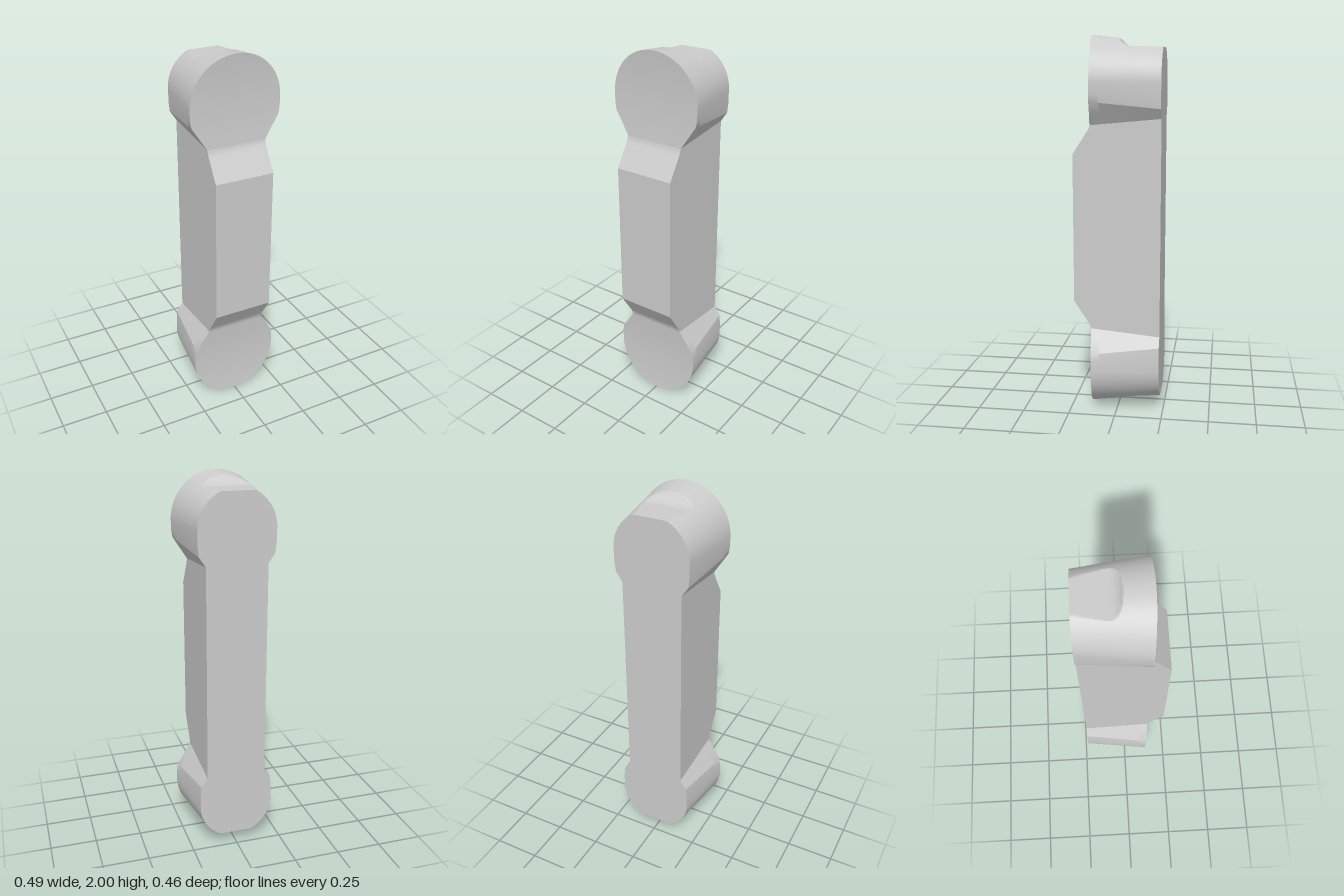
import * as THREE from 'three';
import { toCreasedNormals } from 'three/addons/utils/BufferGeometryUtils.js';

const BACK = -0.23, NECK_X = 0.161, CENTRE = 1.753;
const mix = THREE.MathUtils.lerp;

// Slightly dished front face of each end
const frontZ = y => 0.128 + 0.012 * ((y - 1.77) / 0.23) ** 2;

// Height limit of the thumb notch cut into the outer end
function notchTop(z) {
  const z0 = -0.075, R = 0.084, floor = 1.936;
  if (z > 0.005) return Infinity;
  return z < z0 ? floor : floor + R - Math.sqrt(R * R - (z - z0) ** 2);
}

// Half outline from the top to the neck; t = 0 at the front, 1 at the back
function halfOutline(t) {
  const r = mix(0.246, 0.202, t), kink = mix(1.663, 1.627, t), neck = mix(1.543, 1.577, t);
  const pts = [];
  for (let i = 0; i <= 48; i++) {
    const a = (i / 48) * Math.PI / 2;
    pts.push([r * Math.sin(a), CENTRE + r * Math.cos(a)]);
  }
  pts.push([r * 0.995, mix(CENTRE, kink, 0.6)], [r * 0.97, kink]);
  pts.push([mix(r * 0.97, NECK_X, 0.5), mix(kink, neck, 0.5)], [NECK_X, neck]);
  return pts;
}

// Tapered round end, lofted from front to back with both faces closed
function endGeometry() {
  const steps = 60, pos = [], idx = [];
  let n = 0;
  for (let k = 0; k <= steps; k++) {
    const t = k / steps, half = halfOutline(t);
    const loop = [...half.map(([x, y]) => [-x, y]).reverse(), ...half.slice(1)];
    n = loop.length;
    for (const [x, y] of loop) {
      const z = mix(frontZ(y), BACK, t);
      pos.push(x, Math.min(y, notchTop(z)), z);
    }
  }
  for (let k = 0; k < steps; k++) {
    for (let i = 0; i < n - 1; i++) {
      const a = k * n + i, b = a + n;
      idx.push(a, a + 1, b + 1, a, b + 1, b);
    }
  }
  const last = steps * n;
  for (let i = 0; i < (n - 1) / 2; i++) {
    const l = i, l2 = i + 1, r = n - 1 - i, r2 = n - 2 - i;
    idx.push(l, r, r2, l, r2, l2);
    idx.push(last + l, last + r2, last + r, last + l, last + l2, last + r2);
  }
  const g = new THREE.BufferGeometry();
  g.setAttribute('position', new THREE.Float32BufferAttribute(pos, 3));
  g.setIndex(idx);
  return toCreasedNormals(g, 0.42);
}

// Raised middle bar, its side profile extruded across the width
function barGeometry() {
  const upper = [[BACK, 1.577], [0.14, 1.543], [0.143, 1.53], [0.149, 1.517], [0.158, 1.503], [0.23, 1.393]];
  const lower = upper.map(([z, y]) => [z, 2 - y]).reverse();
  const shape = new THREE.Shape([...upper, ...lower].map(([z, y]) => new THREE.Vector2(-z, y)));
  const g = new THREE.ExtrudeGeometry(shape, { depth: NECK_X * 2, bevelEnabled: false });
  g.translate(0, 0, -NECK_X);
  g.rotateY(Math.PI / 2);
  return toCreasedNormals(g, 0.42);
}

export function createModel() {
  const group = new THREE.Group();
  group.name = 'handle';
  const material = new THREE.MeshStandardMaterial({ color: 0xcccccc, side: THREE.DoubleSide });

  const bar = new THREE.Mesh(barGeometry(), material);
  bar.name = 'middleBar';
  group.add(bar);

  const geometry = endGeometry();
  for (const name of ['upperEnd', 'lowerEnd']) {
    const end = new THREE.Mesh(geometry, material);
    end.name = name;
    if (name === 'lowerEnd') {
      end.rotation.z = Math.PI;
      end.position.y = 2;
    }
    group.add(end);
  }
  return group;
}
